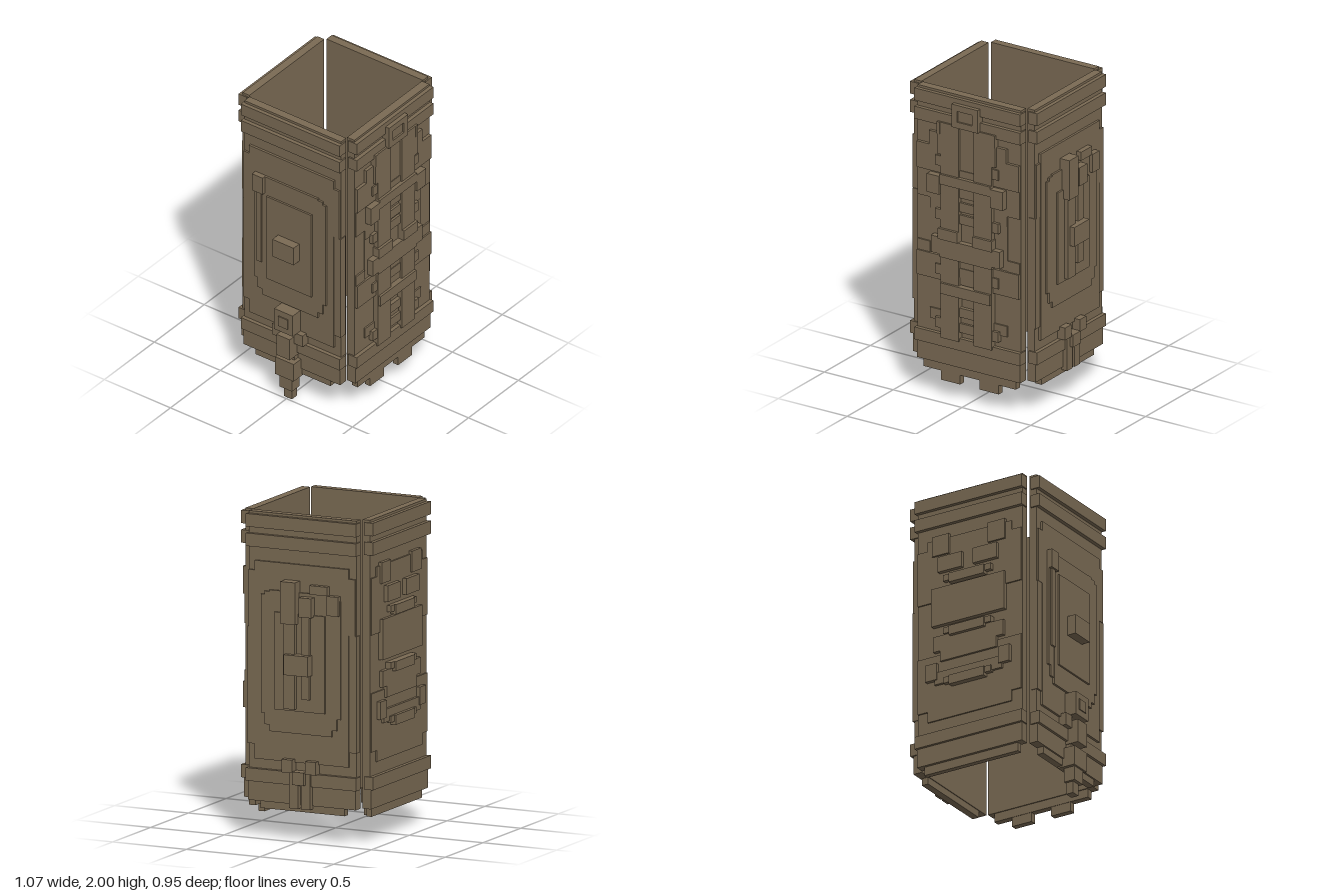
import * as THREE from 'three';

export function createModel() {
  const model = new THREE.Group();
  const stone = new THREE.MeshStandardMaterial({ color: 0x7a6a53 });
  stone.name = 'weathered stone';

  // Box on a wall: u runs along the wall, y is up, w is the distance from the centre axis
  function slab(wall, name, u0, u1, y0, y1, w1, w0 = 0.4) {
    const mesh = new THREE.Mesh(new THREE.BoxGeometry(u1 - u0, y1 - y0, w1 - w0), stone);
    mesh.position.set((u0 + u1) / 2, (y0 + y1) / 2, (w0 + w1) / 2);
    mesh.name = name;
    wall.add(mesh);
  }
  const mid = (wall, name, half, y0, y1, w1, w0) => slab(wall, name, -half, half, y0, y1, w1, w0);
  function pair(wall, name, u0, u1, y0, y1, w1, w0) {
    slab(wall, name, u0, u1, y0, y1, w1, w0);
    slab(wall, name, -u1, -u0, y0, y1, w1, w0);
  }
  // Square plate with a square opening
  function frame(wall, name, half, inner, y0, y1, w1, w0) {
    const rect = (p, a, b, c) => p.moveTo(-a, b).lineTo(a, b).lineTo(a, c).lineTo(-a, c).closePath();
    const shape = rect(new THREE.Shape(), half, y0, y1);
    const t = half - inner;
    shape.holes.push(rect(new THREE.Path(), inner, y0 + t, y1 - t));
    const mesh = new THREE.Mesh(
      new THREE.ExtrudeGeometry(shape, { depth: w1 - w0, bevelEnabled: false }), stone);
    mesh.position.z = w0;
    mesh.name = name;
    wall.add(mesh);
  }

  // Plain wall with its three horizontal bands; in = inner face, out = outer face
  function makeWall(name, angle, inner, out, half) {
    const wall = new THREE.Group();
    wall.name = name;
    wall.rotation.y = angle;
    model.add(wall);
    mid(wall, 'wallPanel', half, 0.22, 2, out, inner);
    mid(wall, 'lowerStrip', half, 0.22, 0.34, out + 0.008, inner + 0.015);
    for (const [y0, y1] of [[1.905, 1.985], [1.785, 1.865], [0.34, 0.42]])
      mid(wall, 'band', half + 0.009, y0, y1, out + 0.025, inner + 0.015);
    return wall;
  }

  // Front wall
  const front = makeWall('frontWall', 0, 0.365, 0.42, 0.375);
  mid(front, 'bottomLip', 0.335, 0.165, 0.22, 0.415, 0.372);
  pair(front, 'bottomTooth', 0.07, 0.21, 0.105, 0.165, 0.415, 0.375);
  mid(front, 'upperPlate', 0.37, 1.47, 1.64, 0.44);
  mid(front, 'upperPlateTop', 0.28, 1.64, 1.73, 0.44);
  mid(front, 'middlePlate', 0.37, 1.29, 1.47, 0.43);
  mid(front, 'middlePlateFoot', 0.28, 1.22, 1.29, 0.43);
  mid(front, 'middlePlateCore', 0.28, 0.93, 1.22, 0.425);
  mid(front, 'lowerPlate', 0.37, 0.77, 0.93, 0.44);
  pair(front, 'sidePlateCorner', 0.28, 0.37, 0.93, 1.0, 0.43);
  mid(front, 'basePlate', 0.28, 0.5, 0.57, 0.43);
  pair(front, 'verticalStrip', 0.055, 0.185, 0.4, 1.6, 0.455);
  pair(front, 'stripHead', 0.055, 0.21, 1.6, 1.81, 0.457);
  pair(front, 'stripShoulder', 0.19, 0.21, 1.73, 1.81, 0.46);
  for (const y of [0.46, 0.81, 1.17, 1.52]) pair(front, 'sideTab', 0.18, 0.23, y, y + 0.065, 0.45);
  for (const y of [0.46, 0.56, 0.82, 0.98, 1.17, 1.25, 1.34, 1.46])
    mid(front, 'rung', 0.056, y, y + 0.06, 0.445);
  mid(front, 'emblemBase', 0.06, 1.73, 1.82, 0.44);
  frame(front, 'emblemFrame', 0.095, 0.055, 1.805, 1.955, 0.472, 0.4);
  mid(front, 'emblemCore', 0.056, 1.84, 1.92, 0.46);
  mid(front, 'crossBar', 0.185, 1.41, 1.475, 0.47);
  pair(front, 'crossBarEnd', 0.185, 0.275, 1.34, 1.46, 0.472);
  pair(front, 'centreBar', 0.055, 0.195, 1.05, 1.12, 0.472);
  pair(front, 'centreBarEnd', 0.18, 0.25, 0.95, 1.06, 0.465);
  mid(front, 'centreBlock', 0.19, 0.93, 1.05, 0.462);
  mid(front, 'lowerCrossBar', 0.18, 0.695, 0.765, 0.47);

  // Back wall
  const back = makeWall('backWall', Math.PI, 0.375, 0.425, 0.375);
  mid(back, 'bottomLip', 0.335, 0.165, 0.22, 0.415, 0.38);
  mid(back, 'upperPlate', 0.37, 1.29, 1.64, 0.435);
  mid(back, 'upperPlateTop', 0.3, 1.64, 1.7, 0.435);
  mid(back, 'lowerPlate', 0.37, 0.57, 0.93, 0.435);
  mid(back, 'lowerPlateFoot', 0.3, 0.5, 0.57, 0.435);
  pair(back, 'browSquare', 0.14, 0.26, 1.59, 1.72, 0.448);
  pair(back, 'eyeBlock', 0.04, 0.21, 1.47, 1.57, 0.462);
  mid(back, 'bigPlate', 0.26, 1.12, 1.37, 0.455);
  mid(back, 'middlePlate', 0.25, 0.95, 1.05, 0.45);
  mid(back, 'middlePlateWide', 0.2, 0.88, 0.95, 0.45);
  mid(back, 'jawPlate', 0.24, 0.73, 0.81, 0.452);
  pair(back, 'jawEnd', 0.22, 0.3, 0.76, 0.87, 0.46);
  for (const y of [1.38, 1.03, 0.7]) {
    mid(back, 'ridge', 0.125, y, y + 0.06, 0.474);
    mid(back, 'ridgeWing', 0.17, y + 0.02, y + 0.06, 0.463);
  }

  // Side walls share the stepped nested plates
  function makeSide(name, angle) {
    const wall = makeWall(name, angle, 0.385, 0.437, 0.365);
    mid(wall, 'bottomLip', 0.285, 0.175, 0.22, 0.435, 0.39);
    mid(wall, 'widePlate', 0.37, 0.57, 1.29, 0.447);
    mid(wall, 'widePlateUpper', 0.362, 1.29, 1.64, 0.45);
    mid(wall, 'tallPlate', 0.32, 0.48, 1.7, 0.452);
    mid(wall, 'steppedPlateWide', 0.27, 0.77, 1.5, 0.464);
    mid(wall, 'steppedPlateTall', 0.21, 0.66, 1.53, 0.465);
    mid(wall, 'steppedPlateMid', 0.245, 0.7, 1.52, 0.4645);
    mid(wall, 'innerPlate', 0.17, 0.8, 1.4, 0.477);
    return wall;
  }

  // Left wall (+x): u equals -z
  const left = makeSide('leftWall', Math.PI / 2);
  slab(left, 'longRodHead', -0.11, -0.01, 1.34, 1.6, 0.52);
  slab(left, 'longRod', -0.1, -0.02, 0.815, 1.34, 0.503);
  slab(left, 'shortRodHead', 0.01, 0.095, 1.39, 1.51, 0.513);
  slab(left, 'shortRod', 0.02, 0.075, 0.88, 1.39, 0.497);
  slab(left, 'rodClasp', -0.08, 0.085, 1.03, 1.155, 0.535);
  slab(left, 'hookArm', 0.07, 0.19, 1.53, 1.585, 0.485);
  slab(left, 'hookEnd', 0.19, 0.265, 1.41, 1.53, 0.488);
  pair(left, 'buckleBlock', 0.045, 0.115, 0.42, 0.5, 0.492);
  mid(left, 'buckleCore', 0.04, 0.35, 0.43, 0.5);
  pair(left, 'buckleStrap', 0.01, 0.07, 0.2, 0.42, 0.477);

  // Right wall (-x): u equals z
  const right = makeSide('rightWall', -Math.PI / 2);
  mid(right, 'clasp', 0.08, 1.03, 1.155, 0.535);
  slab(right, 'sideHook', -0.27, -0.19, 1.41, 1.53, 0.487);
  slab(right, 'sideStrip', -0.25, -0.21, 0.9, 1.41, 0.475);
  // Hanging pendant below the plates
  mid(right, 'pendantTop', 0.07, 0.5, 0.65, 0.53);
  mid(right, 'pendantStud', 0.035, 0.54, 0.61, 0.537);
  pair(right, 'pendantWing', 0.05, 0.115, 0.42, 0.5, 0.49);
  mid(right, 'pendantMiddle', 0.05, 0.32, 0.47, 0.533);
  mid(right, 'pendantNeck', 0.045, 0.29, 0.32, 0.48);
  mid(right, 'pendantLower', 0.07, 0.165, 0.29, 0.52);
  mid(right, 'pendantTail', 0.047, 0.075, 0.165, 0.507, 0.43);
  mid(right, 'pendantTip', 0.03, 0, 0.075, 0.485, 0.435);

  return model;
}
